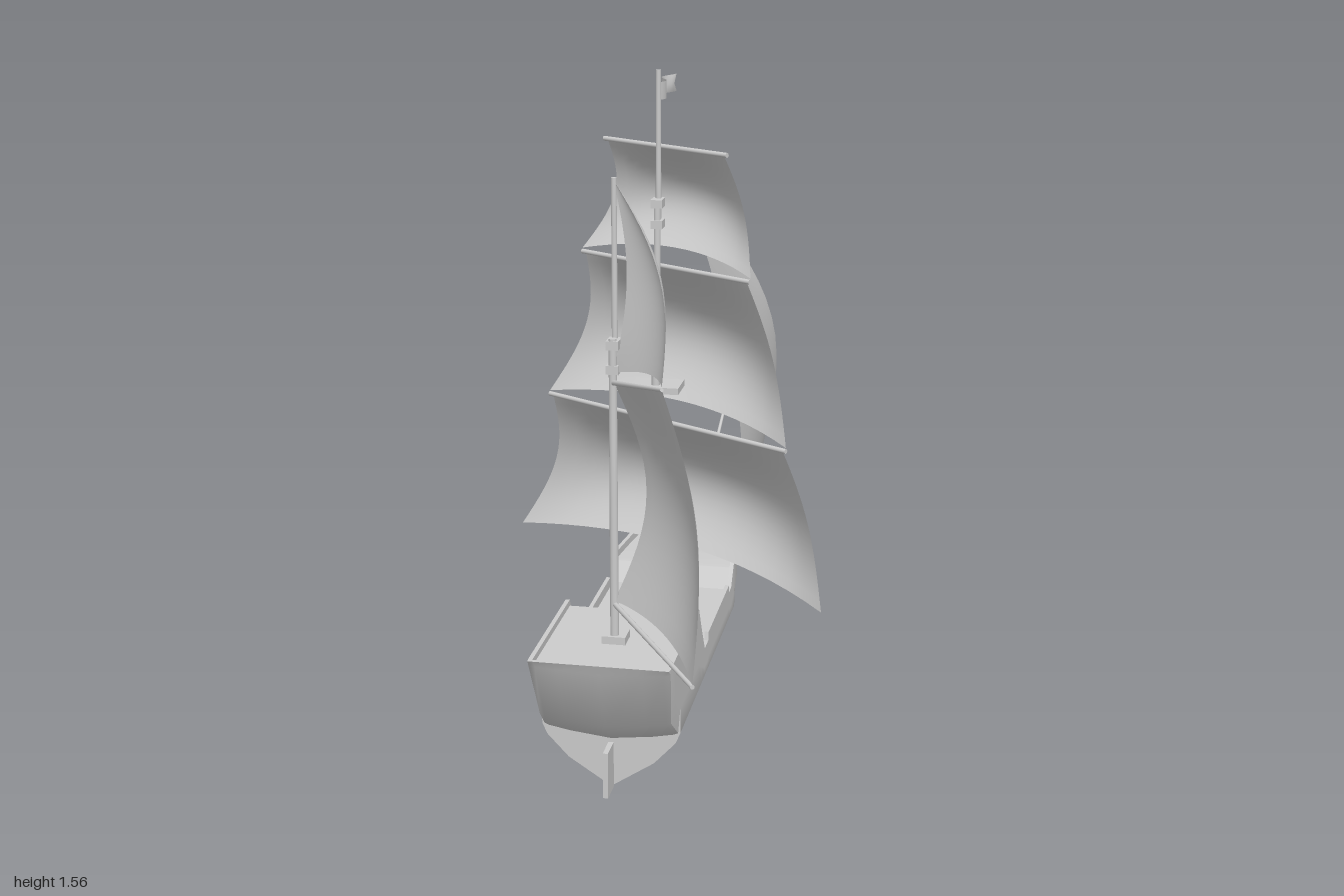
import * as THREE from 'three';
import { toCreasedNormals } from 'three/addons/utils/BufferGeometryUtils.js';

const CX = -0.017; // centreline of hull and masts
const grey = new THREE.MeshStandardMaterial({ color: 0xcccccc });
const cloth = new THREE.MeshStandardMaterial({ color: 0xcccccc, side: THREE.DoubleSide });
const V = (x, y, z) => new THREE.Vector3(x, y, z);

// Skin a list of cross-sections (arrays of Vector3)
function loft(rows, closed) {
  const n = rows[0].length, index = [];
  for (let i = 0; i < rows.length - 1; i++) {
    for (let j = 0; j < (closed ? n : n - 1); j++) {
      const k = (j + 1) % n, a = i * n + j, b = i * n + k;
      index.push(a, a + n, b, a + n, b + n, b);
    }
  }
  const g = new THREE.BufferGeometry().setFromPoints(rows.flat());
  g.setIndex(index);
  g.computeVertexNormals();
  return g;
}

export function createModel() {
  const ship = new THREE.Group();
  ship.name = 'sailingShip';

  function add(name, geometry, material = grey) {
    const m = new THREE.Mesh(geometry, material);
    m.name = name;
    ship.add(m);
    return m;
  }
  function box(name, w, h, d, x, y, z) {
    const m = add(name, new THREE.BoxGeometry(w, h, d));
    m.position.set(x, y, z);
    return m;
  }
  // Tapered round pole between two points
  function spar(name, a, b, r1, r2 = r1) {
    const m = add(name, new THREE.CylinderGeometry(r2, r1, a.distanceTo(b), 12));
    m.position.copy(a).lerp(b, 0.5);
    m.quaternion.setFromUnitVectors(V(0, 1, 0), b.clone().sub(a).normalize());
  }

  // Sail between head corners a, b and foot corners c, d, bellied along n
  function sail(name, [a, b, c, d], n, { left, right, mid, hollow = 0, rise = 0 }) {
    const rows = [], across = d.clone().sub(c).normalize(), N = 16;
    for (let i = 0; i <= N; i++) {
      const v = i / N, row = [], bow = Math.sin(Math.PI * v);
      for (let j = 0; j <= N; j++) {
        const s = j / N, u = 2 * s - 1, full = 1 - u * u;
        const p = a.clone().lerp(b, s).lerp(c.clone().lerp(d, s), v);
        const belly = bow * (left * (1 - s) + right * s) + mid * full * Math.sin(0.75 * Math.PI * v);
        p.addScaledVector(n, belly).addScaledVector(across, -hollow * u * bow);
        p.y += rise * full * v;
        row.push(p);
      }
      rows.push(row);
    }
    add(name, loft(rows, false), cloth);
  }

  // Hull stations: z, keel y, bilge y, bilge half-width, half-width, rail y, deck y
  const midship = (z, rail, deck) => [z, 0.006, 0.15, 0.16, 0.16, rail, deck];
  const stations = [
    [0.75, 0.355, 0.355, 0.158, 0.158, 0.355, 0.355],
    [0.74, 0.33, 0.34, 0.155, 0.16, 0.355, 0.355],
    [0.74, 0.33, 0.34, 0.155, 0.16, 0.355, 0.34],
    [0.68, 0.18, 0.2, 0.15, 0.16, 0.355, 0.34],
    [0.62, 0.125, 0.15, 0.155, 0.16, 0.355, 0.34],
    midship(0.62, 0.355, 0.34), midship(0.375, 0.355, 0.34),
    midship(0.34, 0.295, 0.215), midship(0.29, 0.22, 0.215),
    midship(0.24, 0.22, 0.215), midship(0.235, 0.24, 0.215),
    midship(-0.08, 0.24, 0.215), midship(-0.085, 0.22, 0.215),
    midship(-0.115, 0.22, 0.215), midship(-0.155, 0.265, 0.26), midship(-0.17, 0.28, 0.262),
    [-0.3, 0.016, 0.15, 0.142, 0.147, 0.28, 0.262],
    [-0.4, 0.025, 0.15, 0.122, 0.133, 0.28, 0.262],
    [-0.46, 0.066, 0.165, 0.102, 0.122, 0.28, 0.262],
    [-0.6, 0.17, 0.21, 0.028, 0.04, 0.28, 0.262],
    [-0.65, 0.26, 0.27, 0.01, 0.013, 0.28, 0.28],
    [-0.654, 0.265, 0.27, 0, 0, 0.28, 0.28],
  ];
  const sections = stations.map(([z, ky, cy, cw, w, ry, dy]) => {
    const h = cy - ky, inner = Math.max(w - 0.01, 0);
    const half = [[0.62 * cw, ky + 0.45 * h], [0.93 * cw, ky + 0.82 * h], [cw, cy], [w, cy + (ry - cy) * 0.3],
      [w, ry], [inner, ry], [inner, dy]];
    const port = half.map(([x, y]) => V(CX + x, y, z));
    const starboard = half.map(([x, y]) => V(CX - x, y, z)).reverse();
    return [V(CX, ky, z), ...port, V(CX, dy, z), ...starboard];
  });
  add('hull', toCreasedNormals(loft(sections, true), 0.6));
  box('rudder', 0.012, 0.11, 0.062, CX, 0.06, 0.651);

  // Deck fittings
  box('foreHatch', 0.045, 0.02, 0.065, CX, 0.267, -0.352);
  box('poopStep', 0.25, 0.045, 0.03, CX, 0.235, 0.352);
  for (const s of [-1, 1]) box('poopStair', 0.033, 0.06, 0.06, CX + s * 0.135, 0.24, 0.335);
  box('mainMastStep', 0.06, 0.025, 0.06, CX, 0.225, 0.075);
  box('mizzenMastStep', 0.055, 0.02, 0.055, CX, 0.348, 0.56);

  // Stepped masts, with caps where the poles overlap
  const pole = (name, z, y0, y1, r1, r2) => spar(name, V(CX, y0, z), V(CX, y1, z), r1, r2);
  pole('mainLowerMast', 0.075, 0.2, 0.91, 0.012, 0.01);
  pole('mainTopmast', 0.055, 0.79, 1.26, 0.009, 0.008);
  pole('mainTopPole', 0.037, 1.19, 1.565, 0.007, 0.006);
  pole('mizzenLowerMast', 0.572, 0.33, 1.05, 0.01, 0.009);
  pole('mizzenTopmast', 0.548, 0.97, 1.4, 0.007, 0.006);
  box('mainTopPlatform', 0.12, 0.016, 0.085, CX, 0.8, 0.06);
  for (const [y, z] of [[0.9, 0.065], [1.2, 0.046], [1.25, 0.046], [0.98, 0.56], [1.035, 0.56]]) {
    box('mastCap', 0.028, 0.02, 0.042, CX, y, z);
  }

  // Bowsprit and jib boom
  spar('bowsprit', V(CX, 0.26, -0.6), V(CX, 0.335, -0.79), 0.009, 0.008);
  spar('jibBoom', V(CX, 0.325, -0.72), V(CX, 0.44, -1), 0.006, 0.004);
  for (const [y, z] of [[0.317, -0.73], [0.335, -0.775]]) {
    box('bowspritCap', 0.024, 0.034, 0.016, CX, y, z).rotation.x = 0.38;
  }

  // Square sails on yards braced round by 30 degrees
  const cos = Math.cos(Math.PI / 6), sin = 0.5;
  const along = (t, y, z) => V(-0.005 + t * cos, y, z + t * sin);
  const ahead = V(sin, 0, -cos);
  const squares = [ // name, head half-length, head y, head z, foot half-length, foot y, foot z, belly
    ['topgallant', 0.182, 1.378, 0.02, 0.266, 1.102, 0.033, 0.06],
    ['topsail', 0.255, 1.09, 0.03, 0.38, 0.717, 0.05, 0.09],
    ['mainsail', 0.37, 0.705, 0.045, 0.49, 0.33, 0.04, 0.11],
  ];
  for (const [name, hw, hy, hz, fw, fy, fz, mid] of squares) {
    sail(name, [along(-hw, hy, hz), along(hw, hy, hz), along(-fw, fy, fz), along(fw, fy, fz)], ahead,
      { left: 0.05, right: 0.05, mid, hollow: 0.02, rise: 0.03 });
    spar(name + 'Yard', along(-hw - 0.01, hy + 0.004, hz + 0.006), along(hw + 0.01, hy + 0.004, hz + 0.006), 0.006);
  }

  // Fore-and-aft sails on the mizzen, swung out by 30 degrees
  const throat = V(CX, 0.955, 0.572), peak = V(0.145, 1.02, 0.852);
  const tack = V(CX, 0.44, 0.572), clew = V(0.235, 0.437, 0.995);
  const lee = V(cos, 0, -sin);
  sail('mizzenSail', [throat, peak, tack, clew], lee, { left: 0.07, right: 0.05, mid: 0.035, hollow: 0.02, rise: 0.015 });
  const mizzenHead = V(CX, 1.395, 0.55);
  sail('mizzenTopsail', [mizzenHead, mizzenHead, V(CX, 0.97, 0.565), peak.clone().setY(1.026)], lee,
    { left: 0.03, right: 0.05, mid: 0.03, rise: 0.012 });
  spar('gaff', throat.clone().setY(0.95), peak, 0.006, 0.004);
  spar('boom', tack.clone().setY(0.433), clew.clone().setY(0.433), 0.006, 0.005);

  // Jib
  const jibHead = V(0, 1.31, -0.11);
  sail('jib', [jibHead, jibHead, V(CX, 0.44, -1), V(0.125, 0.285, -0.45)], V(1, 0, 0),
    { left: 0.14, right: 0.05, mid: 0.08, hollow: 0.015, rise: 0.025 });

  // Swallow-tailed pennant with a ripple
  const flag = new THREE.PlaneGeometry(0.17, 0.042, 14, 2);
  const p = flag.attributes.position;
  for (let i = 0; i < p.count; i++) {
    const t = p.getX(i) / 0.17 + 0.5, y = p.getY(i);
    const notch = Math.abs(y) < 0.001 ? 0.03 * t ** 4 : 0;
    p.setXYZ(i, CX + 0.012 * Math.sin(t * 8), 1.514 + y, 0.033 - t * 0.17 + notch);
  }
  flag.computeVertexNormals();
  add('pennant', flag, cloth);

  return ship;
}
